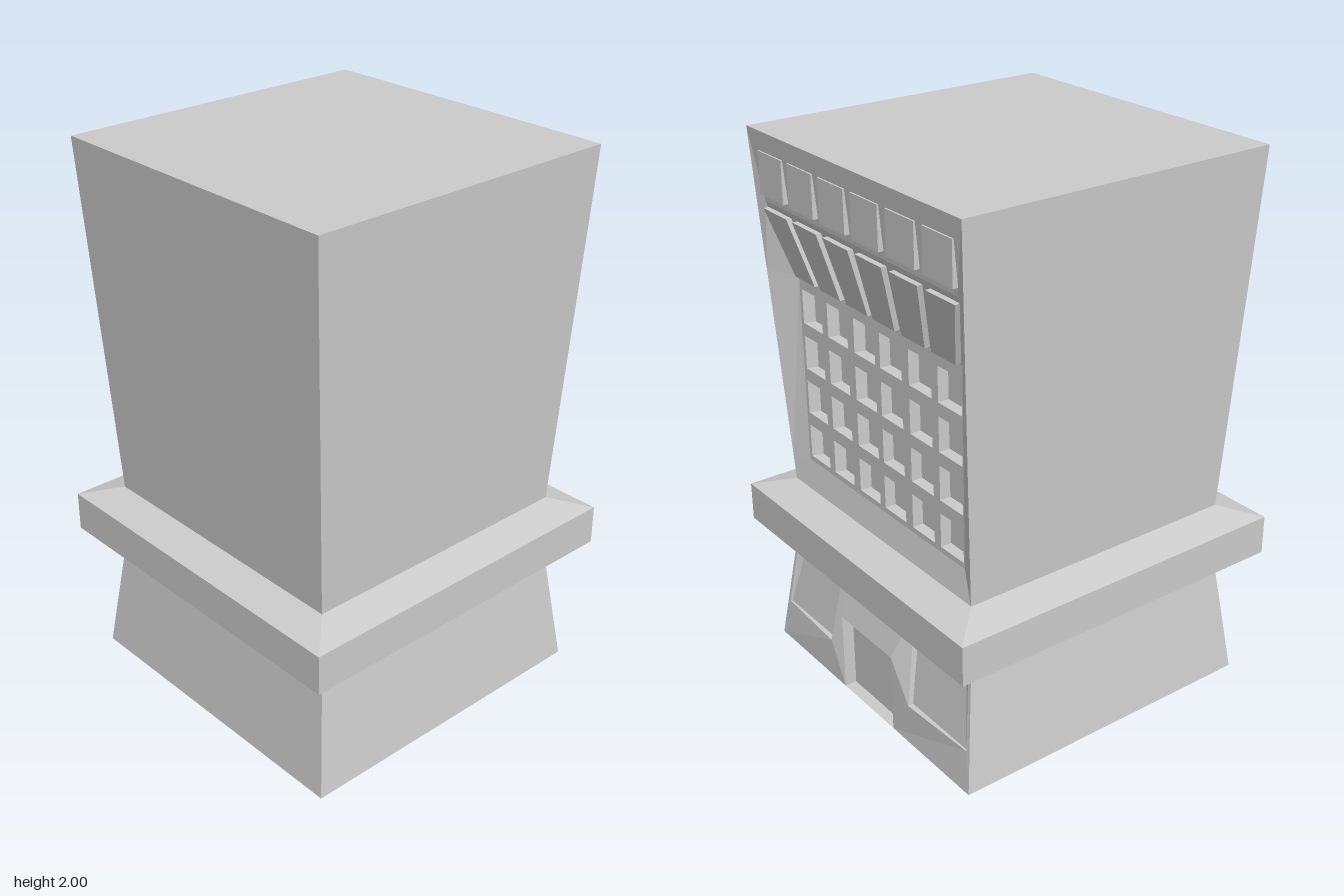
import * as THREE from 'three';

const mat = new THREE.MeshStandardMaterial({ color: 0xcccccc, flatShading: true, side: THREE.DoubleSide });
const lerp = THREE.MathUtils.lerp, clamp = THREE.MathUtils.clamp;

function add(group, geometry, name) {
  const mesh = new THREE.Mesh(geometry, mat);
  mesh.name = name;
  group.add(mesh);
  return mesh;
}

// Flat-shaded surface from four-cornered faces, corners counter-clockwise
function quads(list) {
  const pos = [];
  for (const [a, b, c, d] of list) pos.push(...a, ...b, ...c, ...a, ...c, ...d);
  const g = new THREE.BufferGeometry();
  g.setAttribute('position', new THREE.Float32BufferAttribute(pos, 3));
  g.computeVertexNormals();
  return g;
}

// Facade sheet: outline and holes as [z, y], depth x from a rule
function sheet(outline, holes, depth) {
  const pts = (loop) => loop.map(([z, y]) => new THREE.Vector2(-z, y));
  const shape = new THREE.Shape(pts(outline));
  for (const hole of holes) shape.holes.push(new THREE.Path(pts(hole)));
  const g = new THREE.ShapeGeometry(shape);
  const p = g.attributes.position;
  for (let i = 0; i < p.count; i++) {
    const z = -p.getX(i), y = p.getY(i);
    p.setXYZ(i, depth(y, z), y, z);
  }
  g.computeVertexNormals();
  return g;
}

// Pane set in or out of the facade, with the sides joining it to its opening
function pane(group, name, outer, inner, outerX, innerX) {
  const unit = new THREE.Group();
  unit.name = name;
  const at = (loop, i, fx) => {
    const [z, y] = loop[i % loop.length];
    return [fx(y, z), y, z];
  };
  add(unit, quads(outer.map((_, i) => [at(outer, i, outerX), at(outer, i + 1, outerX),
    at(inner, i + 1, innerX), at(inner, i, innerX)])), 'reveal');
  add(unit, sheet(inner, [], innerX), 'pane');
  group.add(unit);
}

// Three plain leaning walls, leaving the +x side open
function walls(y0, y1, r0, r1) {
  const c = (y, r, sx, sz) => [sx * r, y, sz * r];
  const wall = (a, b) => [c(y0, r0, ...a), c(y0, r0, ...b), c(y1, r1, ...b), c(y1, r1, ...a)];
  return quads([wall([-1, 1], [1, 1]), wall([-1, -1], [-1, 1]), wall([1, -1], [-1, -1])]);
}

// Counter-clockwise trapezoid seen from +x; l and r are its left and right z
const trap = (y0, y1, l0, r0, l1 = l0, r1 = r0) => [[l0, y0], [r0, y0], [r1, y1], [l1, y1]];

function makeBase() {
  const base = new THREE.Group();
  base.name = 'base';
  const edge = (y) => 0.605 - 0.13 * y;
  // The wall stands upright round the door and leans at the corners
  const wallX = (y, z) => {
    const mid = y <= 0.3 ? 0.605 : lerp(0.605, 0.54, (y - 0.3) / 0.2);
    return lerp(edge(y), mid, clamp((edge(y) - Math.abs(z)) / (edge(y) - 0.16), 0, 1));
  };
  add(base, walls(0, 0.5, 0.605, 0.54), 'baseWalls');

  const holes = [], doorX = 0.56, d = 0.157;
  for (const s of [1, -1]) {
    let outer = trap(0.15, 0.495, 0.57, 0.25, 0.525, 0.22);
    let inner = trap(0.15, 0.495, 0.565, 0.25, 0.485, 0.22);
    if (s < 0) [outer, inner] = [outer, inner].map((l) => l.map(([z, y]) => [-z, y]).reverse());
    holes.push(outer);
    pane(base, 'shopWindow', outer, inner, wallX, (y) => lerp(0.58, 0.52, (y - 0.15) / 0.345));
  }
  const outline = [[0.605, 0], [d, 0], [d, 0.3], [-d, 0.3], [-d, 0], [-0.605, 0],
    [-0.54, 0.5], [-d, 0.5], [d, 0.5], [0.54, 0.5]];
  add(base, sheet(outline, holes, wallX), 'baseFacade');
  const door = trap(0, 0.3, d, -d);
  pane(base, 'door', door, door, () => 0.605, () => doorX);

  // Floor with a notch under the doorway
  const e = 0.605;
  add(base, quads([
    [[-e, 0, -e], [doorX, 0, -e], [doorX, 0, e], [-e, 0, e]],
    [[doorX, 0, d], [e, 0, d], [e, 0, e], [doorX, 0, e]],
    [[doorX, 0, -e], [e, 0, -e], [e, 0, -d], [doorX, 0, -d]],
  ]), 'floor');
  return base;
}

function makeLedge() {
  const ledge = new THREE.Group();
  ledge.name = 'ledge';
  const q = Math.SQRT2;
  const slab = new THREE.CylinderGeometry(0.665 * q, 0.665 * q, 0.145, 4).rotateY(Math.PI / 4);
  const slope = new THREE.CylinderGeometry(0.53 * q, 0.665 * q, 0.04, 4, 1, true).rotateY(Math.PI / 4);
  add(ledge, slab, 'ledgeSlab').position.y = 0.5725;
  add(ledge, slope, 'ledgeSlope').position.y = 0.665;
  return ledge;
}

function makeTower() {
  const tower = new THREE.Group();
  tower.name = 'tower';
  const y0 = 0.68, r0 = 0.54, r1 = 0.605;
  add(tower, walls(y0, 2, r0, r1), 'towerWalls');
  add(tower, quads([[[-r1, 2, r1], [r1, 2, r1], [r1, 2, -r1], [-r1, 2, -r1]]]), 'roof');

  // Facade section from bottom to top: y, x, half width
  const rows = [[y0, 0.54, 0.54], [0.78, 0.515, 0.475], [1.49, 0.515, 0.475], [1.75, 0.583, 0.55], [2, 0.605, 0.605]];
  const bandX = (i) => (y) => lerp(rows[i][1], rows[i + 1][1], (y - rows[i][0]) / (rows[i + 1][0] - rows[i][0]));
  const holes = [[], [], [], []];

  const colZ = [0.46, 0.30, 0.135, -0.02, -0.185, -0.345];
  const topZ = [0.54, 0.353, 0.165, -0.025, -0.217, -0.408];
  const w = 0.125, wt = 0.15;
  for (let c = 0; c < 6; c++) {
    const z = colZ[c], t = topZ[c];
    // Sunken windows, their backs drawn in towards the middle
    for (let r = 0; r < 4; r++) {
      const y = 0.8 + r * 0.173;
      const outer = trap(y, y + 0.125, z, z - w);
      const l = z > 0 ? z - 0.004 - 0.02 * z : z, right = z - w < 0 ? z - w + 0.004 - 0.02 * (z - w) : z - w;
      const inner = trap(y, y + 0.113, l, right);
      holes[1].push(outer);
      pane(tower, 'window', outer, inner, bandX(1), () => 0.475);
    }
    // Raised panels on the slope and on the top band
    const slant = trap(1.495, 1.73, z, z - w, t, t - wt);
    pane(tower, 'slopedWindow', slant, slant, bandX(2), (y) => bandX(2)(y) + 0.02);
    const top = trap(1.78, 1.93, t, t - wt);
    pane(tower, 'topWindow', top, top, bandX(3), () => 0.605);
  }
  for (let i = 0; i < 4; i++) {
    const [ya, , a] = rows[i], [yb, , b] = rows[i + 1];
    add(tower, sheet(trap(ya, yb, a, -a, b, -b), holes[i], bandX(i)), 'facadeBand');
  }

  // Returns joining the sunken facade to the leaning corners
  const strips = [];
  for (let i = 0; i < 4; i++) {
    for (const s of [1, -1]) {
      const corner = ([y]) => { const r = lerp(r0, r1, (y - y0) / (2 - y0)); return [r, y, s * r]; };
      const inside = ([y, x, z]) => [x, y, s * z];
      const q = [corner(rows[i]), inside(rows[i]), inside(rows[i + 1]), corner(rows[i + 1])];
      strips.push(s > 0 ? q : q.reverse());
    }
  }
  add(tower, quads(strips), 'facadeReturns');
  return tower;
}

export function createModel() {
  const model = new THREE.Group();
  model.name = 'building';
  model.add(makeBase(), makeLedge(), makeTower());
  return model;
}
